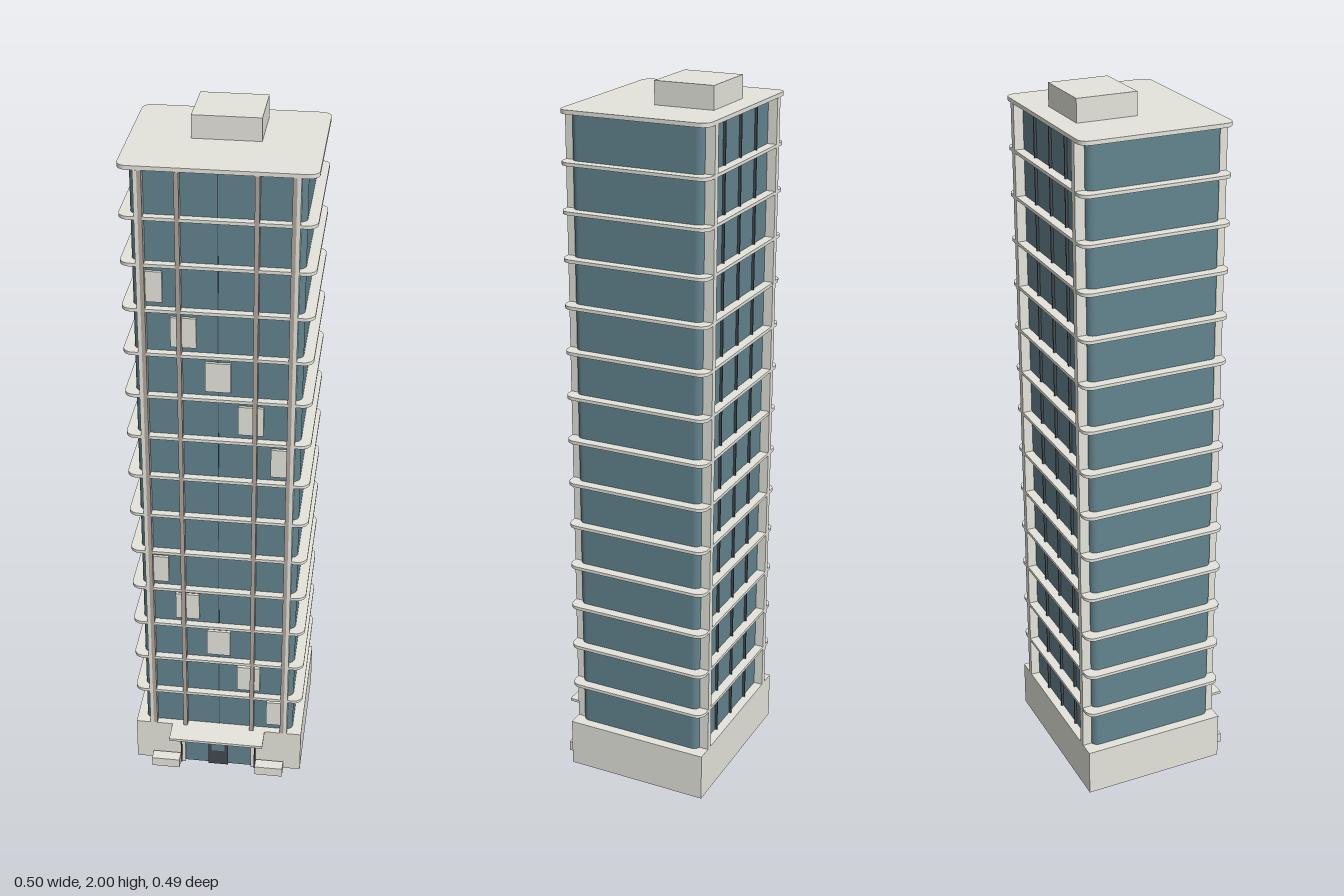
import * as THREE from 'three';

const material = (name, color) => Object.assign(new THREE.MeshStandardMaterial({ color }), { name });

export function createModel() {
  const tower = new THREE.Group();
  tower.name = 'officeTower';
  const concrete = material('concrete', 0xe5e5dc);
  const glass = material('blueGlass', 0x62838e);
  const dark = material('darkFrame', 0x42484d);
  const taupe = material('taupeFin', 0xb0a69e);

  // Box given by its limits on each axis
  function box(name, mat, x0, x1, y0, y1, z0, z1) {
    const mesh = new THREE.Mesh(new THREE.BoxGeometry(x1 - x0, y1 - y0, z1 - z0), mat);
    mesh.position.set((x0 + x1) / 2, (y0 + y1) / 2, (z0 + z1) / 2);
    mesh.name = name;
    tower.add(mesh);
  }

  // The same box on both sides of the middle
  function pair(name, mat, x0, x1, ...limits) {
    box(name, mat, x0, x1, ...limits);
    box(name, mat, -x1, -x0, ...limits);
  }

  // Upright prism with a rounded rectangular plan
  function roundedPrism(name, mat, hx, z0, z1, r, y0, y1) {
    const s = new THREE.Shape();
    s.moveTo(-hx + r, -z1);
    s.lineTo(hx - r, -z1);
    s.absarc(hx - r, -z1 + r, r, -Math.PI / 2, 0);
    s.absarc(hx - r, -z0 - r, r, 0, Math.PI / 2);
    s.absarc(-hx + r, -z0 - r, r, Math.PI / 2, Math.PI);
    s.absarc(-hx + r, -z1 + r, r, Math.PI, Math.PI * 1.5);
    const geo = new THREE.ExtrudeGeometry(s, { depth: y1 - y0, bevelEnabled: false, curveSegments: 6 });
    geo.rotateX(-Math.PI / 2);
    const mesh = new THREE.Mesh(geo, mat);
    mesh.position.y = y0;
    mesh.name = name;
    tower.add(mesh);
  }

  const back = -0.243, front = 0.177, baseTop = 0.14, roofY = 1.927;
  const floors = 14, step = 0.1277;

  // Base, glazed shaft, roof and plant room
  box('base', concrete, -0.25, 0.25, 0, baseTop, back, front);
  roundedPrism('glassShaft', glass, 0.222, -0.217, 0.156, 0.02, baseTop, roofY);
  roundedPrism('roofSlab', concrete, 0.25, back, front, 0.027, roofY, 1.938);
  box('plantRoom', concrete, -0.09, 0.09, 1.938, 2, -0.185, -0.018);

  // Floor slabs
  for (let k = 1; k < floors; k++) {
    const y = baseTop + k * step;
    roundedPrism('floorSlab', concrete, 0.25, back, front, 0.027, y - 0.005, y + 0.004);
  }

  // Corner columns, front fins and thin mullions
  pair('frontColumn', concrete, 0.197, 0.207, baseTop, roofY, 0.15, front + 0.0003);
  pair('cornerFin', taupe, 0.186, 0.197, baseTop, roofY, 0.15, front + 0.0003);
  pair('frontFin', taupe, 0.094, 0.106, baseTop, roofY, 0.15, front + 0.0003);
  pair('backColumn', concrete, 0.188, 0.207, baseTop, roofY, back - 0.0003, -0.21);
  box('frontMullion', dark, -0.001, 0.001, baseTop, roofY, 0.15, 0.158);
  for (const x of [-0.1, 0, 0.1]) box('backMullion', dark, x - 0.0018, x + 0.0018, baseTop, roofY, -0.224, -0.21);

  // Pale panels climbing diagonally across the front
  const panels = [[0.143, 0.195], [0.054, 0.122], [-0.034, 0.034], [-0.124, -0.056], [-0.195, -0.143]];
  for (const first of [0, 7]) {
    panels.forEach(([x0, x1], i) => {
      const y = baseTop + (first + i) * step + 0.019;
      box('facadePanel', concrete, x0, x1, y, y + 0.086, 0.155, 0.164);
    });
  }

  // Entrance glazing with frame and door
  box('entranceGlass', glass, -0.1, 0.1, 0.003, 0.13, 0.174, 0.181);
  pair('entranceJamb', concrete, 0.1, 0.11, 0, 0.132, 0.174, 0.186);
  pair('jambEdge', dark, 0.11, 0.114, 0, 0.132, 0.174, 0.19);
  box('entranceHeader', dark, -0.11, 0.11, 0.127, 0.132, 0.174, 0.184);
  box('doorFrame', dark, -0.03, 0.03, 0, 0.12, 0.177, 0.185);
  box('doorPane', glass, -0.02, 0.02, 0.055, 0.11, 0.18, 0.187);

  // Canopy and the two low planters
  box('canopy', concrete, -0.14, 0.14, 0.132, 0.14, 0.17, 0.243);
  pair('planter', concrete, 0.115, 0.199, 0, 0.03, 0.183, 0.216);
  return tower;
}
